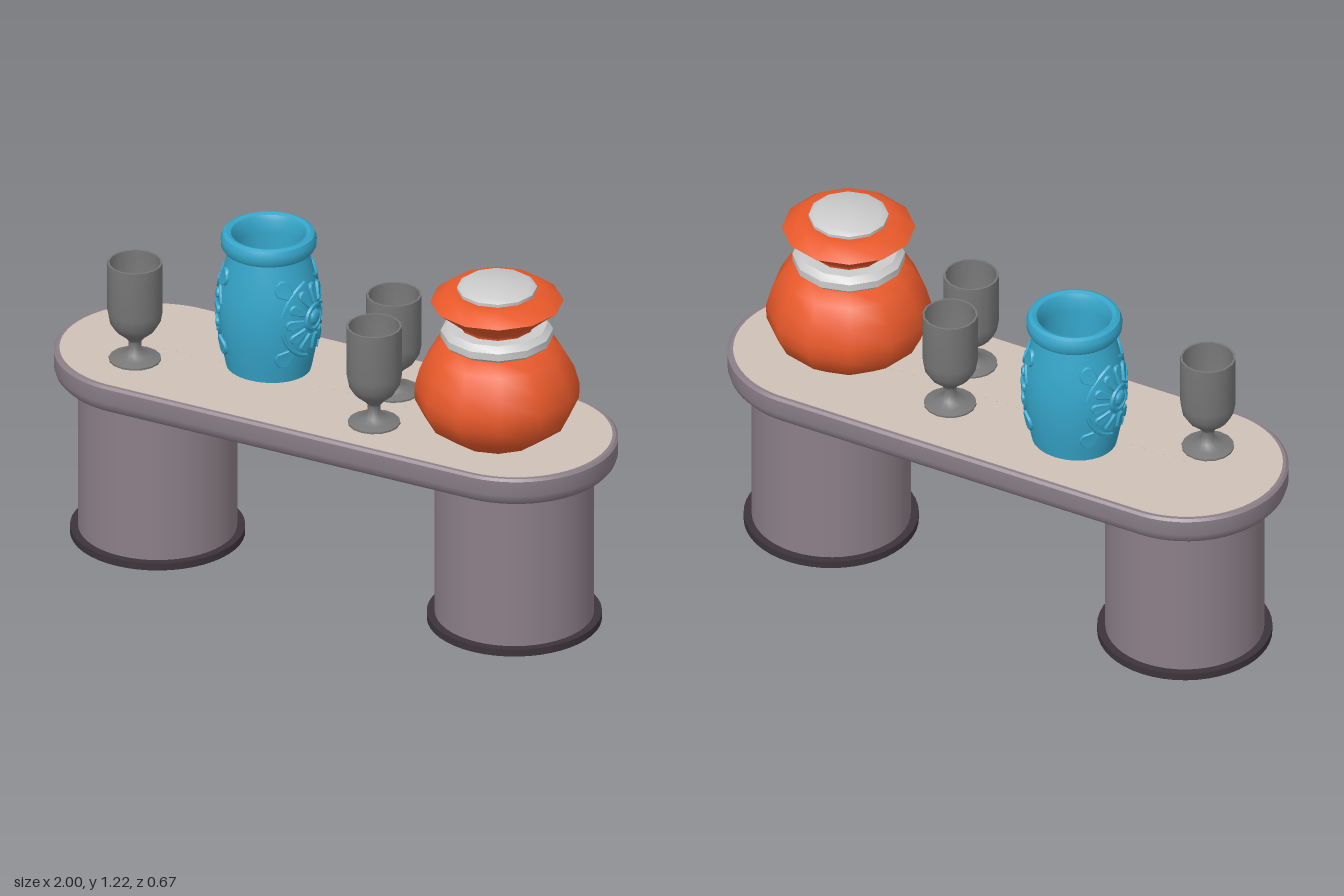
import * as THREE from 'three';
import { toCreasedNormals, mergeGeometries } from 'three/addons/utils/BufferGeometryUtils.js';

const material = (color) => new THREE.MeshStandardMaterial({ color });
const mats = {
  stone: material(0x8c7f88), inlay: material(0xcfc2b7), plinth: material(0x3c343a),
  orange: material(0xe8592a), grey: material(0xcccccc), metal: material(0x777777), blue: material(0x35a5c9),
};

function mesh(name, geometry, mat, x = 0, y = 0, z = 0) {
  const m = new THREE.Mesh(geometry, mat);
  m.name = name;
  m.position.set(x, y, z);
  return m;
}

// Turned solid from [radius, height] pairs, listed from the bottom up the outside
function turned(profile, sides, crease = 0.6, phiStart = 0) {
  const points = profile.map(([r, y]) => new THREE.Vector2(Math.max(r, 1e-4), y));
  return toCreasedNormals(new THREE.LatheGeometry(points, sides, phiStart), crease);
}

// Turned solid split down the middle and pulled apart into a stadium outline
function stadium(profile, halfStraight) {
  const sides = 64;
  const g = turned(profile, sides, 0.6, Math.PI / sides);
  const p = g.attributes.position;
  for (let i = 0; i < p.count; i++) p.setX(i, p.getX(i) + Math.sign(p.getX(i)) * halfStraight);
  return toCreasedNormals(g, 0.6);
}

function makeTable() {
  const table = new THREE.Group();
  table.name = 'table';
  table.add(mesh('tableTop', stadium([[0, 0.567], [0.295, 0.567], [0.313, 0.573], [0.326, 0.588],
    [0.333, 0.61], [0.333, 0.662], [0.325, 0.67], [0, 0.67]], 0.667), mats.stone));
  table.add(mesh('tableInlay', stadium([[0.314, 0.66], [0.314, 0.672], [0, 0.672]], 0.667), mats.inlay));
  for (const side of [-1, 1]) {
    table.add(mesh('leg', new THREE.CylinderGeometry(0.26, 0.26, 0.555, 48), mats.stone, side * 0.66, 0.297, 0));
    table.add(mesh('plinth', new THREE.CylinderGeometry(0.286, 0.286, 0.025, 48), mats.plinth, side * 0.66, 0.0125, 0));
  }
  return table;
}

function makePot() {
  const pot = new THREE.Group();
  pot.name = 'pot';
  const part = (name, profile, mat) => pot.add(mesh(name, turned(profile, 12, 0.7), mat));
  part('potBody', [[0, 0.672], [0.15, 0.672], [0.235, 0.735], [0.268, 0.8], [0.27, 0.85],
    [0.252, 0.915], [0.215, 0.98], [0.165, 1.02], [0, 1.02]], mats.orange);
  part('potCollar', [[0, 1.012], [0.168, 1.012], [0.184, 1.027], [0.184, 1.052], [0.165, 1.072], [0, 1.072]], mats.grey);
  part('potNeckAndLip', [[0.122, 1.06], [0.126, 1.08], [0.16, 1.11], [0.198, 1.142], [0.218, 1.157],
    [0.168, 1.196], [0.13, 1.196], [0, 1.19]], mats.orange);
  part('potLid', [[0.13, 1.18], [0.131, 1.207], [0.112, 1.22], [0, 1.221]], mats.grey);
  pot.position.set(0.61, 0, 0.027);
  return pot;
}

function makeGoblet() {
  return turned([[0, 0.672], [0.086, 0.672], [0.086, 0.678], [0.06, 0.686], [0.032, 0.698], [0.021, 0.715],
    [0.021, 0.74], [0.035, 0.757], [0.065, 0.782], [0.084, 0.812], [0.091, 0.85], [0.091, 1.026],
    [0.084, 1.026], [0.084, 0.855], [0.074, 0.82], [0.045, 0.79], [0, 0.78]], 16, 0.7);
}

// The vase swells at mid height and is a little wider towards its two carved sides
const vaseRadius = (y) => 0.128 + 0.027 * Math.sin(Math.PI * THREE.MathUtils.clamp((y - 0.67) / 0.43, 0, 1));
const vaseStretch = (phi, y) => 1 + 0.1 * Math.sin(phi) ** 2 * THREE.MathUtils.clamp((1.1 - y) / 0.15, 0, 1);

// Bends a flat ornament (x along, y up, z out) round the vase
function wrap(geometry, phi0) {
  const g = geometry.index ? geometry.toNonIndexed() : geometry.clone();
  const p = g.attributes.position;
  for (let i = 0; i < p.count; i++) {
    const phi = phi0 + p.getX(i) / 0.165, y = 0.89 + p.getY(i);
    const r = vaseRadius(y) * vaseStretch(phi, y) + p.getZ(i);
    p.setXYZ(i, r * Math.sin(phi), y, r * Math.cos(phi));
  }
  return toCreasedNormals(g, 0.7);
}

// Raised leaf pointing along +y from start to end
function leaf(start, end, width) {
  const s = new THREE.Shape();
  s.moveTo(-width * 0.45, start);
  s.lineTo(width * 0.45, start);
  s.lineTo(width, end - width);
  s.quadraticCurveTo(width * 0.9, end, 0, end);
  s.quadraticCurveTo(-width * 0.9, end, -width, end - width);
  const g = new THREE.ExtrudeGeometry(s, { depth: 0.008, bevelEnabled: true, bevelSize: 0.003,
    bevelThickness: 0.004, bevelSegments: 1, curveSegments: 5 });
  return g.translate(0, 0, -0.003);
}

function makeVase() {
  const vase = new THREE.Group();
  vase.name = 'vase';
  const profile = [[0, 0.672]];
  for (let i = 0; i <= 14; i++) {
    const y = 0.672 + 0.428 * i / 14;
    profile.push([vaseRadius(y), y]);
  }
  profile.push([0.148, 1.102], [0.156, 1.115], [0.157, 1.14], [0.15, 1.157], [0.138, 1.163], [0.124, 1.158],
    [0.115, 1.14], [0.111, 1.1], [0.111, 0.95], [0.11, 0.78], [0.09, 0.74], [0, 0.73]);
  const body = turned(profile, 40);
  const p = body.attributes.position;
  for (let i = 0; i < p.count; i++) {
    const k = vaseStretch(Math.atan2(p.getX(i), p.getZ(i)), p.getY(i));
    p.setX(i, p.getX(i) * k);
    p.setZ(i, p.getZ(i) * k);
  }
  vase.add(mesh('vaseBody', toCreasedNormals(body, 0.7), mats.blue));

  // Sunburst medallion with corner leaves
  const petals = [], corners = [];
  for (let i = 0; i < 12; i++) petals.push(leaf(0.06, 0.118, 0.014).rotateZ(i * Math.PI / 6));
  for (const sx of [-1, 1]) for (const sy of [-1, 1]) {
    const angle = Math.atan2(sy, sx);
    corners.push(leaf(0.145, 0.205, 0.028).rotateZ(angle - Math.PI / 2));
    corners.push(new THREE.TorusGeometry(0.135, 0.007, 6, 10, 1.1).rotateZ(angle - 0.55).toNonIndexed());
  }
  const hub = new THREE.SphereGeometry(0.026, 16, 10).scale(1, 1, 0.5);
  const ring = new THREE.TorusGeometry(0.042, 0.008, 6, 24);
  for (const phi of [-Math.PI / 2, Math.PI / 2]) {
    vase.add(mesh('medallionHub', wrap(hub, phi), mats.blue));
    vase.add(mesh('medallionRing', wrap(ring, phi), mats.blue));
    vase.add(mesh('medallionPetals', wrap(mergeGeometries(petals), phi), mats.blue));
    vase.add(mesh('cornerLeaves', wrap(mergeGeometries(corners), phi), mats.blue));
  }
  vase.position.set(-0.28, 0, -0.058);
  return vase;
}

export function createModel() {
  const model = new THREE.Group();
  model.name = 'tableWithVessels';
  model.add(makeTable(), makePot(), makeVase());
  const goblet = makeGoblet();
  for (const [x, z] of [[-0.685, 0.11], [0.17, -0.083], [0.22, 0.148]])
    model.add(mesh('goblet', goblet, mats.metal, x, 0, z));
  return model;
}
